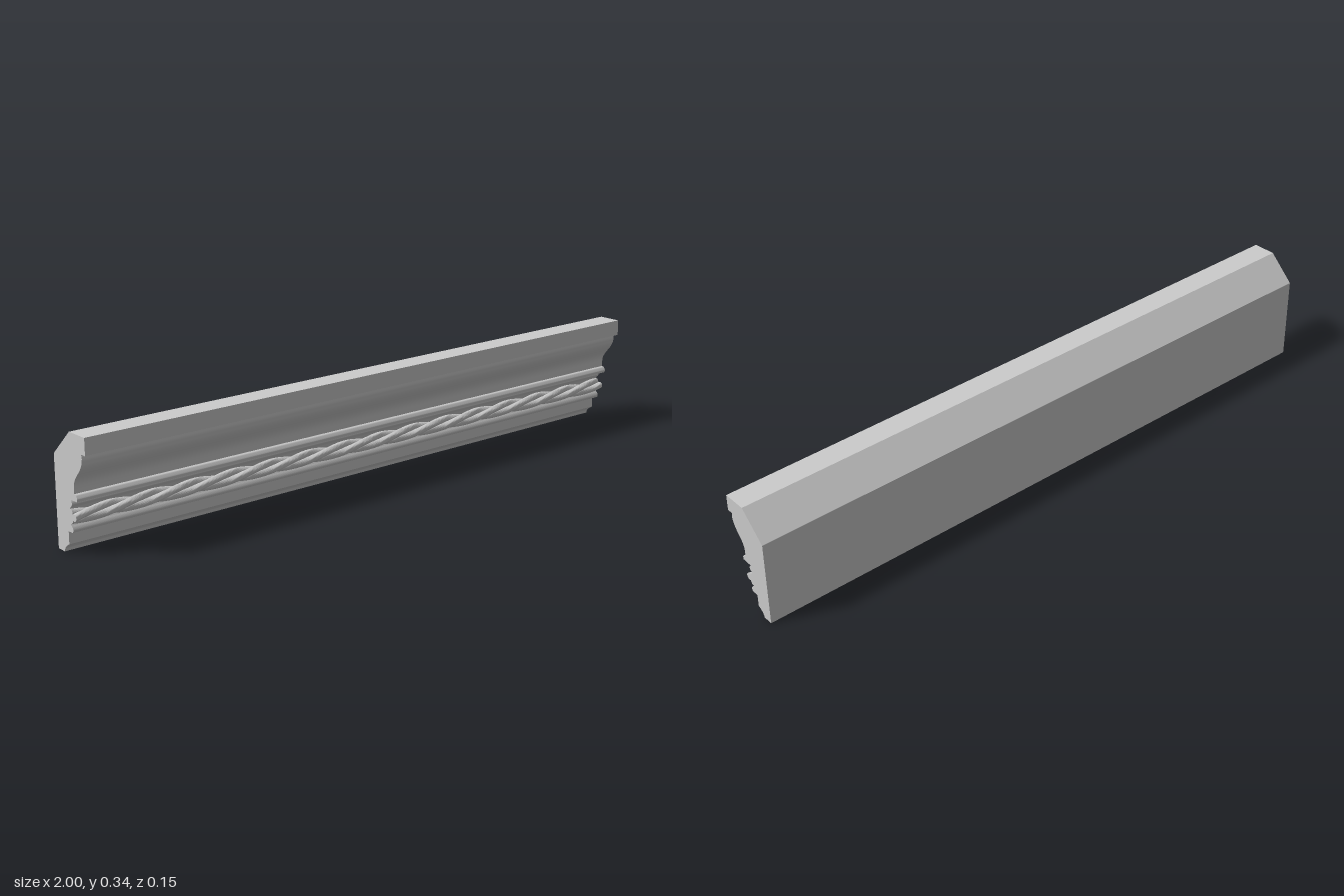
import * as THREE from 'three';
import { toCreasedNormals } from 'three/addons/utils/BufferGeometryUtils.js';

const LENGTH = 2;
const material = new THREE.MeshStandardMaterial({ color: 0xcccccc });

// Extrudes a (z, y) section along x, centred on x = 0
function sweep(shape, steps, curveSegments) {
  const geometry = new THREE.ExtrudeGeometry(shape, { depth: LENGTH, steps, curveSegments, bevelEnabled: false });
  return geometry.translate(0, 0, -LENGTH / 2).rotateY(-Math.PI / 2);
}

function part(name, geometry, crease) {
  const mesh = new THREE.Mesh(toCreasedNormals(geometry, crease), material);
  mesh.name = name;
  return mesh;
}

// Moulding section, from the back foot up the front to the bevelled top
function mouldingSection() {
  const s = new THREE.Shape();
  s.moveTo(-0.075, 0);
  s.lineTo(-0.045, 0);
  s.bezierCurveTo(-0.043, 0.014, -0.031, 0.02, -0.021, 0.026); // foot cove
  s.lineTo(-0.021, 0.062);
  s.lineTo(-0.003, 0.062);
  s.bezierCurveTo(0.004, 0.064, 0.005, 0.077, -0.005, 0.081); // lower bead
  s.quadraticCurveTo(-0.008, 0.084, -0.01, 0.09);
  s.lineTo(-0.01, 0.122); // rope channel
  s.quadraticCurveTo(-0.008, 0.128, -0.004, 0.133);
  s.bezierCurveTo(0.004, 0.136, 0.005, 0.148, -0.007, 0.152); // upper bead
  s.lineTo(0.028, 0.153);
  s.bezierCurveTo(0.031, 0.164, 0.026, 0.17, 0.016, 0.172); // lip
  s.lineTo(0.016, 0.19);
  s.bezierCurveTo(0.018, 0.225, 0.058, 0.235, 0.061, 0.276); // large ogee
  s.quadraticCurveTo(0.06, 0.283, 0.058, 0.287);
  s.lineTo(0.077, 0.287);
  s.lineTo(0.077, 0.335);
  s.lineTo(0.005, 0.335);
  s.lineTo(-0.075, 0.26);
  s.closePath();
  return s;
}

// Three round strands laid together, twisted along the length
function ropeGeometry() {
  const strands = 3, pitch = 0.4, offset = 0.0115, radius = 0.0105, count = 42;
  const lobe = (2 * Math.PI) / strands;
  const points = [];
  for (let i = 0; i < count; i++) {
    const a = (i / count) * 2 * Math.PI;
    const local = (a % lobe) - lobe / 2;
    const r = offset * Math.cos(local) + Math.sqrt(radius ** 2 - (offset * Math.sin(local)) ** 2);
    points.push(new THREE.Vector2(r * Math.cos(a), r * Math.sin(a)));
  }
  const geometry = sweep(new THREE.Shape(points), 160, 1);
  const p = geometry.attributes.position;
  for (let i = 0; i < p.count; i++) {
    const t = (p.getX(i) / pitch) * 2 * Math.PI;
    const c = Math.cos(t), s = Math.sin(t), y = p.getY(i), z = p.getZ(i);
    p.setXYZ(i, p.getX(i), y * c + z * s, z * c - y * s);
  }
  return geometry;
}

export function createModel() {
  const group = new THREE.Group();
  group.name = 'ropeMoulding';
  group.add(part('mouldingBody', sweep(mouldingSection(), 1, 14), 0.6));
  const rope = part('twistedRope', ropeGeometry(), 0.8);
  rope.position.set(0, 0.106, -0.002);
  group.add(rope);
  return group;
}
